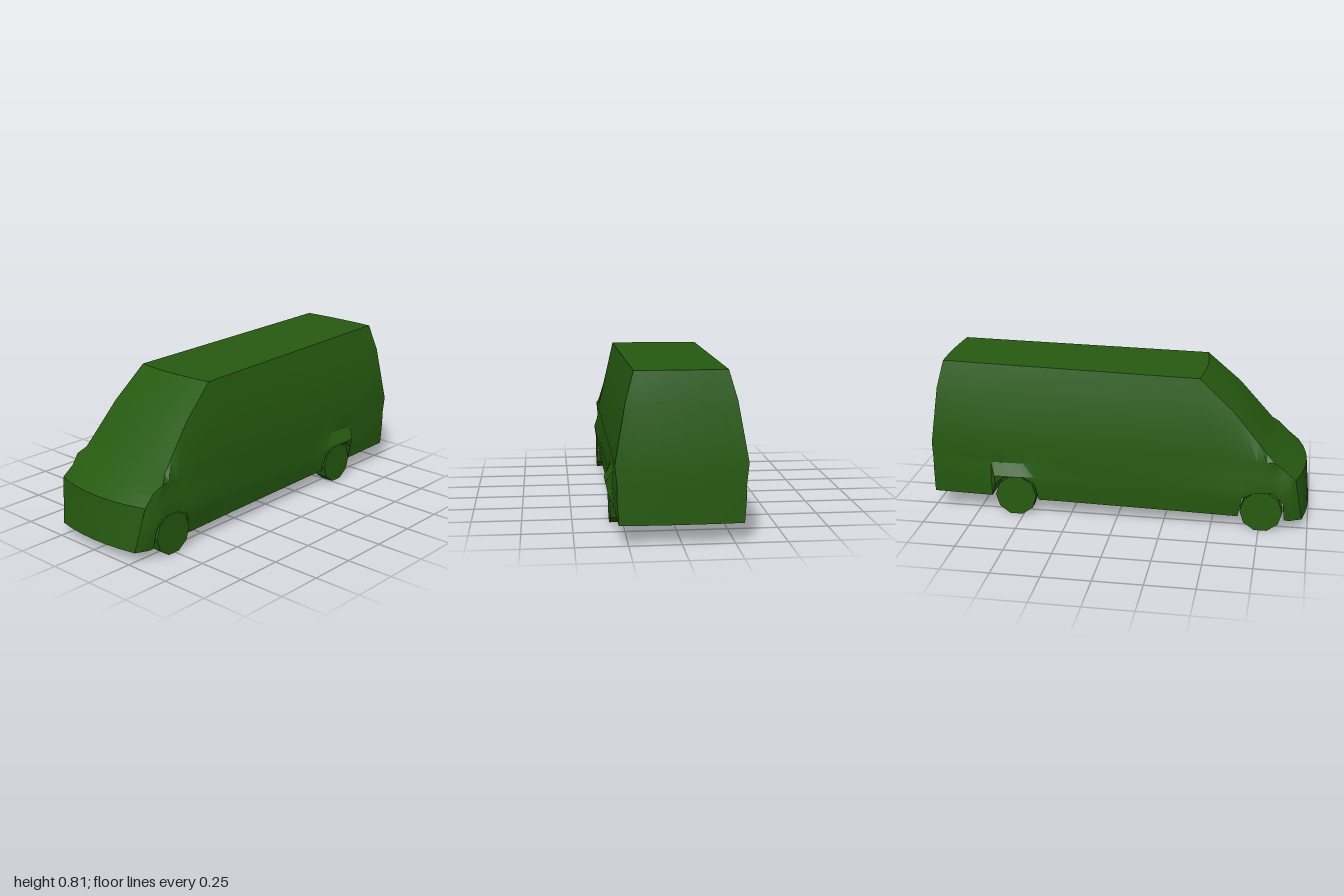
import * as THREE from 'three';
import { toCreasedNormals } from 'three/addons/utils/BufferGeometryUtils.js';

// Piecewise-linear lookup through points sorted by ascending key
function lerpTable(table, t) {
  if (t <= table[0][0]) return table[0][1];
  for (let i = 1; i < table.length; i++) {
    const [a, va] = table[i - 1], [b, vb] = table[i];
    if (t <= b) return va + (vb - va) * (t - a) / (b - a);
  }
  return table[table.length - 1][1];
}

// Underside height along z, including both wheel arches
const UNDERSIDE = [
  [-1, 0.095], [-0.675, 0.09], [-0.65, 0.17], [-0.6, 0.215], [-0.5, 0.22], [-0.44, 0.18], [-0.42, 0.082],
  [0.64, 0.065], [0.66, 0.175], [0.73, 0.213], [0.82, 0.213], [0.87, 0.16], [0.88, 0.058], [0.97, 0.055],
];
// Roof, windscreen and bonnet edge along z, and how far the middle bows forward
const TOPLINE = [[-0.94, 0.81], [0.42, 0.785], [0.6, 0.625], [0.78, 0.415], [0.93, 0.285]];
const TOPBOW = [[0.3, 0], [0.42, 0.02], [0.78, 0.025], [0.93, 0.05]];
// Half width by height, and the extra flare around the wheels
const WIDTH = [[0.06, 0.292], [0.22, 0.302], [0.285, 0.302], [0.38, 0.312], [0.67, 0.26], [0.785, 0.235], [0.81, 0.22]];
const FLARE = [[-0.68, 0], [-0.65, 0.036], [-0.5, 0.036], [-0.42, 0.016], [-0.3, 0.008],
  [0.3, 0.01], [0.64, 0.022], [0.87, 0.022], [0.95, 0]];
const FLARE_BY_HEIGHT = [[0.06, 0.3], [0.22, 1], [0.285, 0]];
// Slanted nose and tail
const NOSE_Z = [[0.055, 0.97], [0.285, 0.93]];
const NOSE_BOW = [[0.055, 0.03], [0.285, 0.05]];
const NOSE_WIDTH = [[0.055, 0.262], [0.285, 0.3]];
const TAIL_Z = [[0.38, -0.992], [0.67, -0.965], [0.81, -0.935]];

const STATIONS = [0.97, 0.91, 0.88, 0.87, 0.82, 0.78, 0.73, 0.66, 0.64, 0.6, 0.42, 0.3, 0,
  -0.3, -0.42, -0.44, -0.5, -0.6, -0.65, -0.675, -1];
const ROWS = [0, 0.14, 0.22, 0.285, 0.38, 0.67, 1];
const ACROSS = [-1, -0.67, -0.33, 0, 0.33, 0.67, 1];
const LAST = STATIONS.length - 1, TOP = ROWS.length - 1;

// Body surface point: station i along z, row j in height, fraction f across
function bodyPoint(i, j, f) {
  let z = STATIONS[i];
  const bottom = lerpTable(UNDERSIDE, z), top = lerpTable(TOPLINE, z);
  const y = Math.max(bottom, Math.min(top, ROWS[j]));
  let w = lerpTable(WIDTH, y) + lerpTable(FLARE, z) * lerpTable(FLARE_BY_HEIGHT, y);
  let bow = j === TOP ? lerpTable(TOPBOW, z) : 0;
  // windscreen pillars lean in from the body side
  if (z > 0.42 && y === top) w = Math.min(w, 0.3 - 0.13 * (y - 0.285));
  if (i === 0) {
    z = lerpTable(NOSE_Z, y);
    w = lerpTable(NOSE_WIDTH, y);
    bow = lerpTable(NOSE_BOW, y);
  } else if (i === LAST) {
    z = lerpTable(TAIL_Z, y);
    bow = -0.008;
  }
  return new THREE.Vector3(f * w, y, z + bow * (1 - f * f));
}

// Adds a grid of quads, skipping collapsed triangles
function addPatch(out, nu, nv, point, flip = false) {
  const tri = (a, b, c) => {
    const area = b.clone().sub(a).cross(c.clone().sub(a)).length();
    if (area < 1e-7) return;
    for (const p of flip ? [a, c, b] : [a, b, c]) out.push(p.x, p.y, p.z);
  };
  for (let u = 0; u < nu; u++) {
    for (let v = 0; v < nv; v++) {
      const a = point(u, v), b = point(u + 1, v), c = point(u + 1, v + 1), d = point(u, v + 1);
      tri(a, b, c);
      tri(a, c, d);
    }
  }
}

function bodyGeometry() {
  const out = [], n = ACROSS.length - 1;
  addPatch(out, LAST, TOP, (i, j) => bodyPoint(i, j, 1));                     // left side
  addPatch(out, LAST, TOP, (i, j) => bodyPoint(i, j, -1), true);              // right side
  addPatch(out, n, LAST, (k, i) => bodyPoint(i, TOP, ACROSS[k]));             // roof and windscreen
  addPatch(out, n, LAST, (k, i) => bodyPoint(i, 0, ACROSS[k]), true);         // underside and arches
  addPatch(out, n, TOP, (k, j) => bodyPoint(0, j, ACROSS[k]));                // nose
  addPatch(out, n, TOP, (k, j) => bodyPoint(LAST, j, ACROSS[k]), true);       // tail
  const geometry = new THREE.BufferGeometry();
  geometry.setAttribute('position', new THREE.Float32BufferAttribute(out, 3));
  return toCreasedNormals(geometry, Math.PI / 6);
}

export function createModel() {
  const van = new THREE.Group();
  van.name = 'van';
  const paint = new THREE.MeshStandardMaterial({ color: 0x265a10 });

  const body = new THREE.Mesh(bodyGeometry(), paint);
  body.name = 'body';
  van.add(body);

  // Ten-sided wheels resting on a flat
  const wheelGeometry = toCreasedNormals(new THREE.CylinderGeometry(0.11, 0.11, 0.07, 10).rotateZ(Math.PI / 2), Math.PI / 6);
  for (const [end, z] of [['front', 0.76], ['rear', -0.54]]) {
    for (const [side, s] of [['Left', 1], ['Right', -1]]) {
      const wheel = new THREE.Mesh(wheelGeometry, paint);
      wheel.name = `${end}${side}Wheel`;
      wheel.position.set(s * 0.28, 0.105, z);
      van.add(wheel);
    }
  }
  return van;
}
